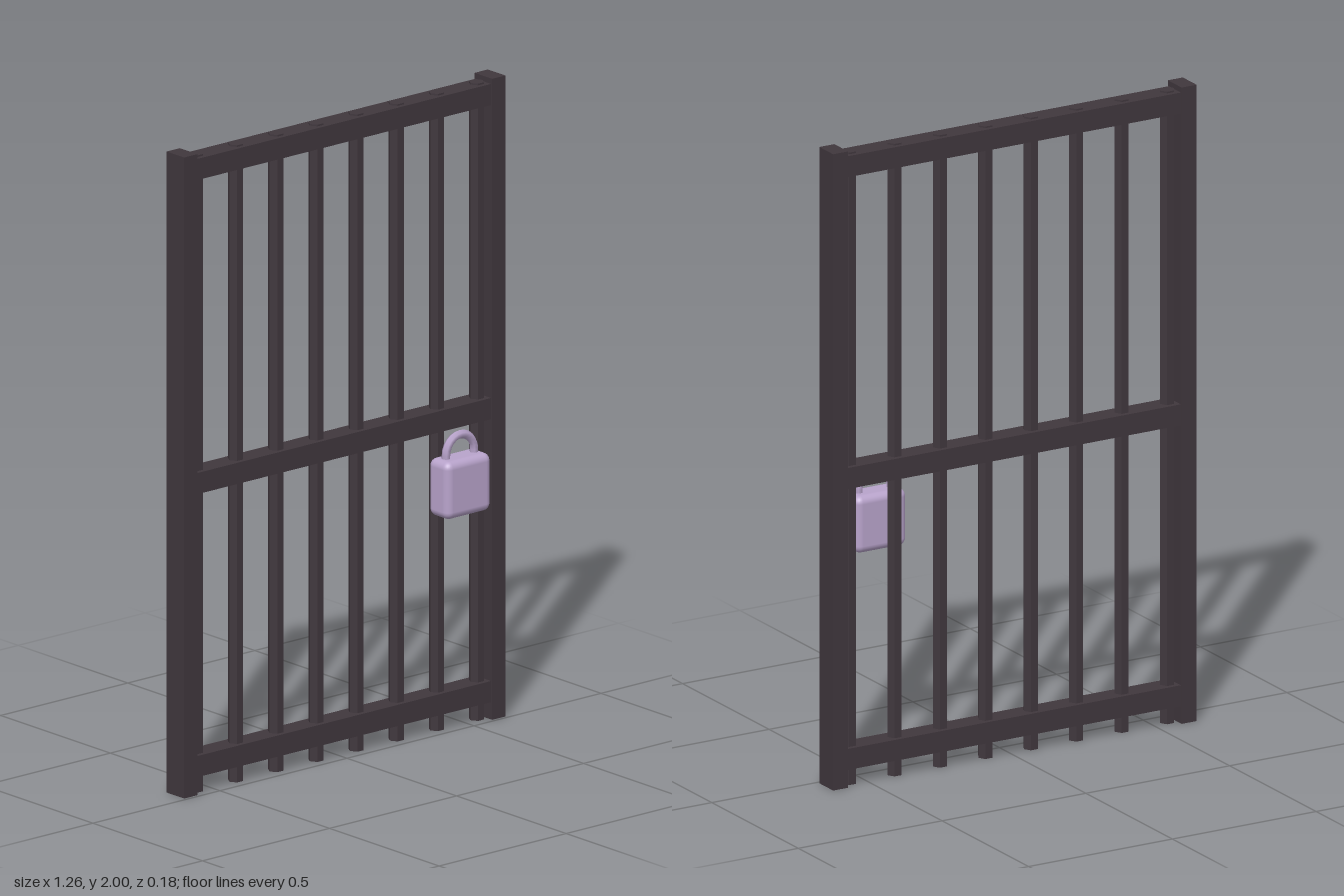
import * as THREE from 'three';
import { RoundedBoxGeometry } from 'three/addons/geometries/RoundedBoxGeometry.js';

export function createModel() {
  const model = new THREE.Group();
  model.name = 'barredGate';

  const darkIron = new THREE.MeshStandardMaterial({ color: 0x40373d });
  darkIron.name = 'darkIron';
  const lilacMetal = new THREE.MeshStandardMaterial({ color: 0xb8a3cb });
  lilacMetal.name = 'lilacMetal';

  const add = (parent, name, geometry, material, x, y, z) => {
    const mesh = new THREE.Mesh(geometry, material);
    mesh.name = name;
    mesh.position.set(x, y, z);
    parent.add(mesh);
    return mesh;
  };

  const gateZ = -0.05;

  // Side posts
  const postGeometry = new THREE.BoxGeometry(0.052, 2, 0.08);
  add(model, 'leftPost', postGeometry, darkIron, 0.606, 1, gateZ);
  add(model, 'rightPost', postGeometry, darkIron, -0.606, 1, gateZ);

  // Cross rails
  const railGeometry = new THREE.BoxGeometry(1.17, 0.066, 0.07);
  const rails = { bottomRail: 0.087, middleRail: 0.97, topRail: 1.95 };
  for (const [name, y] of Object.entries(rails)) {
    add(model, name, railGeometry, darkIron, 0, y, gateZ);
  }

  // Eight hexagonal bars, poking out past the top and bottom rails
  const barGeometry = new THREE.CylinderGeometry(0.024, 0.024, 1.988, 6)
    .rotateY(Math.PI / 6).toNonIndexed();
  barGeometry.computeVertexNormals();
  for (let i = 0; i < 8; i++) {
    add(model, `bar${i + 1}`, barGeometry, darkIron, (i - 3.5) * 0.158, 0.994, gateZ);
  }

  // Padlock
  const padlock = new THREE.Group();
  padlock.name = 'padlock';
  padlock.position.set(0.411, 0.782, 0.039);
  model.add(padlock);
  add(padlock, 'lockBody', new RoundedBoxGeometry(0.178, 0.18, 0.093, 3, 0.024), lilacMetal, 0, 0, 0);

  // Shackle: half ring with two straight legs sunk into the body
  const ringRadius = 0.055, tube = 0.0135, ringY = 0.1;
  add(padlock, 'shackleArch', new THREE.TorusGeometry(ringRadius, tube, 6, 12, Math.PI), lilacMetal, 0, ringY, 0);
  const legGeometry = new THREE.CylinderGeometry(tube, tube, 0.04, 6).rotateY(Math.PI / 6);
  for (const [name, side] of [['shackleLegLeft', 1], ['shackleLegRight', -1]]) {
    add(padlock, name, legGeometry, lilacMetal, side * ringRadius, ringY - 0.02, 0);
  }

  return model;
}
